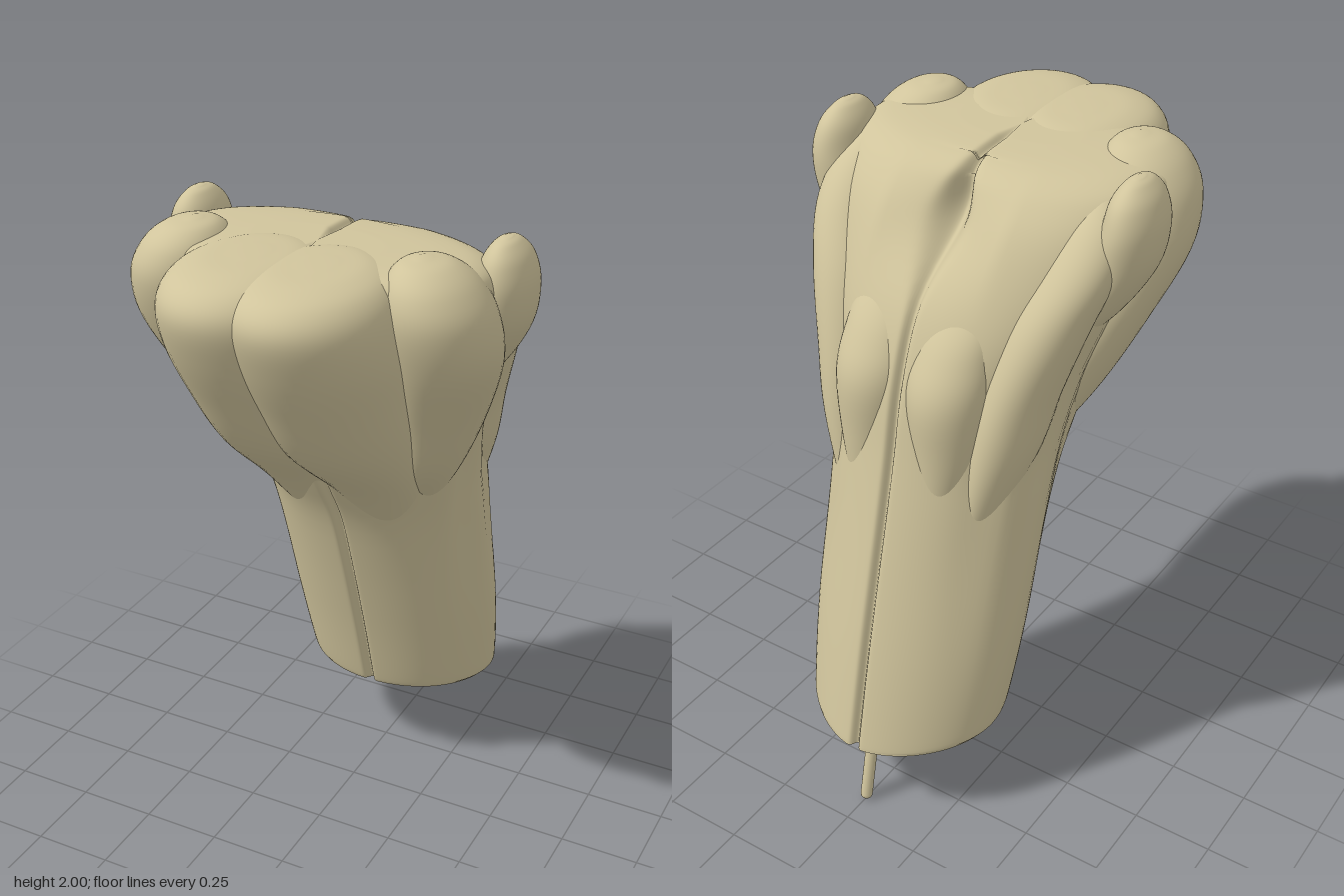
import * as THREE from 'three';

const tissue = new THREE.MeshStandardMaterial({ color: 0xd0c49c });
tissue.name = 'pale tan';

const bell = (v, mid, width) => Math.exp(-(((v - mid) / width) ** 2));
const roundPower = () => 2;

// Smooth loft through rows of [y, centre x, centre z, radius x, radius z]
function loft(name, rows, { side = 1, power = roundPower, segs = 48, steps = 6, warp = 0, shape = null } = {}) {
  const curve = new THREE.CubicInterpolant(rows.map((_, i) => i), rows.flat(), 5);
  const rings = (rows.length - 1) * steps;
  const pos = [], index = [];
  for (let i = 0; i <= rings; i++) {
    const [y, cx, cz, rx, rz] = Array.from(curve.evaluate(i / steps));
    for (let j = 0; j < segs; j++) {
      const u = (j / segs) * Math.PI * 2, a = u + warp * Math.sin(2 * u);
      const c = Math.cos(a), s = Math.sin(a), e = 2 / power(y, s < 0);
      const p = new THREE.Vector3(
        side * cx + Math.sign(c) * Math.abs(c) ** e * rx, y,
        cz + Math.sign(s) * Math.abs(s) ** e * rz);
      if (shape) shape(p, cz);
      pos.push(p.x, p.y, p.z);
    }
  }
  for (let i = 0; i < rings; i++) for (let j = 0; j < segs; j++) {
    const a = i * segs + j, b = i * segs + (j + 1) % segs;
    index.push(a, a + segs, b, b, a + segs, b + segs);
  }
  // Caps: the lower one has its own ring so its rim stays sharp
  const cap = (ring, up) => {
    const start = pos.length / 3, mid = [0, 0, 0];
    for (let j = 0; j < segs; j++) for (let k = 0; k < 3; k++) {
      const v = pos[(ring * segs + j) * 3 + k];
      pos.push(v);
      mid[k] += v / segs;
    }
    pos.push(...mid);
    for (let j = 0; j < segs; j++) {
      const a = (up ? ring * segs : start) + j, b = (up ? ring * segs : start) + (j + 1) % segs;
      index.push(...(up ? [b, a, start + segs] : [a, b, start + segs]));
    }
  };
  cap(0, false);
  cap(rings, true);
  const geo = new THREE.BufferGeometry();
  geo.setAttribute('position', new THREE.Float32BufferAttribute(pos, 3));
  geo.setIndex(index);
  geo.computeVertexNormals();
  const mesh = new THREE.Mesh(geo, tissue);
  mesh.name = name;
  return mesh;
}

export function createModel() {
  const group = new THREE.Group();
  group.name = 'brainstemSegment';

  // Leaning stalk, given as [y, front z, back z, half width]
  const stalk = [
    [0.285, -0.12, -0.70, 0.308], [0.33, -0.105, -0.69, 0.323], [0.6, -0.03, -0.625, 0.342],
    [1.0, 0.095, -0.52, 0.345], [1.2, 0.2, -0.47, 0.35], [1.4, 0.32, -0.425, 0.38],
    [1.6, 0.4, -0.35, 0.44], [1.8, 0.46, -0.235, 0.49], [1.9, 0.47, -0.145, 0.49],
    [1.945, 0.45, -0.07, 0.45], [1.963, 0.4, 0.01, 0.36], [1.97, 0.32, 0.12, 0.18],
  ].map(([y, f, b, w]) => [y, 0, (f + b) / 2, w, (f - b) / 2]);
  group.add(loft('stalk', stalk, {
    segs: 144, warp: 0.4,
    // Narrower towards the rear, fuller near the top
    power: (y, back) => {
      const t = THREE.MathUtils.smoothstep(y, 0.8, 1.6);
      return back ? 1.75 + 0.4 * t : 2.05 + 0.2 * t;
    },
    shape: (p, cz) => {
      const y = p.y, back = p.z < cz;
      // Midline fissure, opening into a V-shaped hollow on the upper back
      const open = back ? bell(y, 1.82, 0.12) : 0;
      const notch = (0.025 + 0.06 * open) * bell(p.x, 0, 0.012 + 0.03 * open)
        + 0.08 * open * Math.max(0, 1 - Math.abs(p.x) / 0.2);
      if (y < 1.96) p.z += back ? notch : -notch;
      if (y > 1.92) p.y -= 0.02 * bell(p.x, 0, 0.012);
      // Shallow lengthwise furrows on the flanks
      const flute = 0.007 * Math.sin(p.z * 40 - y * 10) * bell(y, 1.2, 0.5);
      p.x += Math.sign(p.x) * flute * Math.min(1, (p.x / 0.3) ** 2);
      // Slanted lower cut
      p.y += 0.086 * (p.z + 0.41) * Math.max(0, 1 - (y - 0.285) / 0.6);
    },
  }));

  const lobes = {
    // Large paired swellings at the front
    pyramid: [
      [1.0, 0.12, 0.0, 0.05, 0.04], [1.2, 0.115, 0.075, 0.15, 0.145], [1.4, 0.1, 0.19, 0.21, 0.25],
      [1.6, 0.1, 0.3, 0.235, 0.28], [1.75, 0.1, 0.38, 0.245, 0.285], [1.87, 0.1, 0.42, 0.232, 0.285],
      [1.94, 0.1, 0.42, 0.195, 0.25], [1.972, 0.1, 0.41, 0.13, 0.17], [1.98, 0.1, 0.4, 0.04, 0.05],
    ],
    // Oval swellings beside them
    olive: [
      [1.12, 0.24, -0.02, 0.03, 0.04], [1.3, 0.297, 0.06, 0.08, 0.125], [1.5, 0.34, 0.13, 0.13, 0.165],
      [1.7, 0.385, 0.22, 0.158, 0.18], [1.84, 0.385, 0.265, 0.155, 0.18], [1.93, 0.37, 0.28, 0.125, 0.15],
      [1.983, 0.355, 0.285, 0.075, 0.09], [2.0, 0.345, 0.285, 0.015, 0.02],
    ],
    // Small knobs on the upper flanks
    sideKnob: [
      [1.5, 0.34, -0.04, 0.03, 0.04], [1.62, 0.4, -0.01, 0.075, 0.09], [1.75, 0.46, 0.02, 0.09, 0.12],
      [1.86, 0.482, 0.03, 0.083, 0.13], [1.94, 0.482, 0.035, 0.065, 0.11], [1.985, 0.48, 0.04, 0.035, 0.065],
      [2.0, 0.48, 0.04, 0.01, 0.02],
    ],
    // Long soft ridges running up the rear flanks
    flankRidge: [
      [0.9, 0.2, -0.36, 0.03, 0.05], [1.2, 0.25, -0.26, 0.092, 0.135], [1.4, 0.28, -0.21, 0.107, 0.15],
      [1.6, 0.33, -0.15, 0.115, 0.14], [1.75, 0.38, -0.08, 0.105, 0.12], [1.86, 0.39, -0.01, 0.08, 0.09],
      [1.93, 0.38, 0.05, 0.03, 0.04],
    ],
    // Raised pads either side of the rear fissure
    rearTubercle: [
      [1.0, 0.13, -0.42, 0.03, 0.03], [1.22, 0.125, -0.35, 0.1, 0.11], [1.4, 0.12, -0.325, 0.125, 0.135],
      [1.52, 0.12, -0.285, 0.12, 0.12], [1.62, 0.125, -0.23, 0.1, 0.09], [1.74, 0.13, -0.13, 0.04, 0.04],
    ],
  };
  for (const [name, rows] of Object.entries(lobes)) for (const side of [1, -1]) {
    group.add(loft((side > 0 ? 'left ' : 'right ') + name, rows, { side }));
  }

  // Thin thread hanging below
  const thread = new THREE.Mesh(new THREE.CapsuleGeometry(0.019, 0.4, 6, 16), tissue);
  thread.name = 'hangingThread';
  thread.position.set(0, 0.215, -0.605);
  thread.rotation.x = 0.22;
  group.add(thread);
  return group;
}
